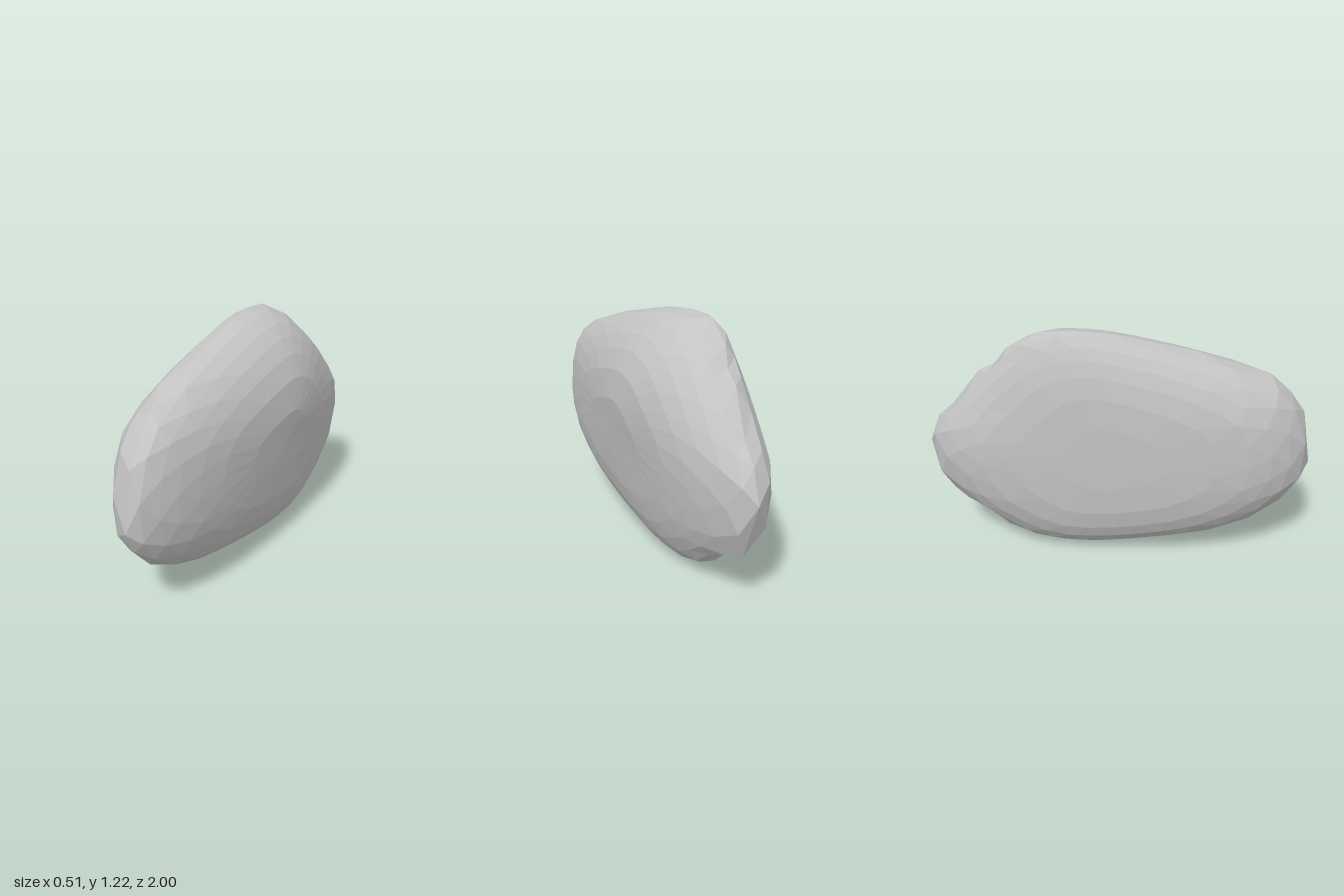
import * as THREE from 'three';

// Rim of the stone in the (z, y) plane, from the front tip over the top to the back and underneath
const RIM = [
  [1, 0.51], [0.95, 0.79], [0.87, 0.9], [0.77, 0.99], [0.4, 1.11], [0.2, 1.155], [0, 1.2],
  [-0.1, 1.212], [-0.2, 1.22], [-0.37, 1.21], [-0.53, 1.12], [-0.6, 1.03], [-0.69, 0.98],
  [-0.85, 0.78], [-0.94, 0.7], [-1, 0.55], [-0.9, 0.26], [-0.74, 0.21], [-0.67, 0.13],
  [-0.52, 0.04], [-0.36, 0.01], [-0.2, 0], [0, 0.02], [0.2, 0.055], [0.4, 0.09],
  [0.62, 0.15], [0.82, 0.26], [0.94, 0.39],
];
const RINGS = [1, 0.975, 0.91, 0.82, 0.7, 0.53, 0.28, 0];
const CENTRE_Y = 0.6;
const N = RIM.length;

// Height of each broad face: a humped left face and a nearly flat right face
const leftFace = (z, y) => 0.212 + 0.05 * Math.exp(-((z + 0.15) ** 2) / 0.3 - (y - 0.82) ** 2 / 0.08);
const rightFace = (z) => -0.255 - 0.012 * z;

// Rim point at step t; the rings inside the rim follow a softened outline
function outline(curve, t, r) {
  const at = (s) => curve.getPoint(((s % N) + N) % N / N);
  const p = at(t);
  const soft = at(t - 1).add(at(t + 1)).add(at(t)).divideScalar(3);
  return p.lerp(soft, Math.min(1, (1 - r) * 8));
}

// Point on one side of the stone: t runs round the rim, r shrinks to the middle
function surfacePoint(curve, t, r, side) {
  const p = outline(curve, t, r);
  const z = p.z * r;
  const y = CENTRE_Y + (p.y - CENTRE_Y) * r;
  const lift = (y - CENTRE_Y) / 0.6;
  const lean = lift > 0 ? -0.085 + 0.08 * z : -0.02 - 0.05 * z;
  const middle = lean * lift * lift + 0.02 * z * z;
  const bulge = Math.sqrt(Math.max(0, 1 - r ** (side > 0 ? 3.1 : 4)));
  const face = side > 0 ? leftFace(z, y) : rightFace(z);
  return new THREE.Vector3(middle + (face - middle) * bulge, y, z);
}

// Staggered rings give diamond-shaped facets
function halfGeometry(curve, side) {
  const rings = RINGS.map((r, k) =>
    Array.from({ length: N }, (_, i) => surfacePoint(curve, i + (k % 2) / 2, r, side)));
  const points = [];
  const tri = (a, b, c) => points.push(...(side > 0 ? [a, c, b] : [a, b, c]));
  for (let k = 0; k < RINGS.length - 1; k++) {
    const o = rings[k], q = rings[k + 1];
    const last = k === RINGS.length - 2;
    for (let i = 0; i < N; i++) {
      const j = (i + 1) % N;
      if (last) {
        tri(o[i], o[j], q[0]);
      } else if (k % 2 === 0) {
        tri(o[i], o[j], q[i]);
        tri(q[i], o[j], q[j]);
      } else {
        tri(o[i], q[j], q[i]);
        tri(o[i], o[j], q[j]);
      }
    }
  }
  const geometry = new THREE.BufferGeometry().setFromPoints(points);
  geometry.computeVertexNormals();
  return geometry;
}

export function createModel() {
  const group = new THREE.Group();
  group.name = 'rock';
  const stone = new THREE.MeshStandardMaterial({ color: 0xc3c3c3, flatShading: true });
  stone.name = 'grey stone';
  const curve = new THREE.CatmullRomCurve3(
    RIM.map(([z, y]) => new THREE.Vector3(0, y, z)), true, 'centripetal');

  for (const [name, side] of [['leftHalf', 1], ['rightHalf', -1]]) {
    const mesh = new THREE.Mesh(halfGeometry(curve, side), stone);
    mesh.name = name;
    group.add(mesh);
  }
  return group;
}
